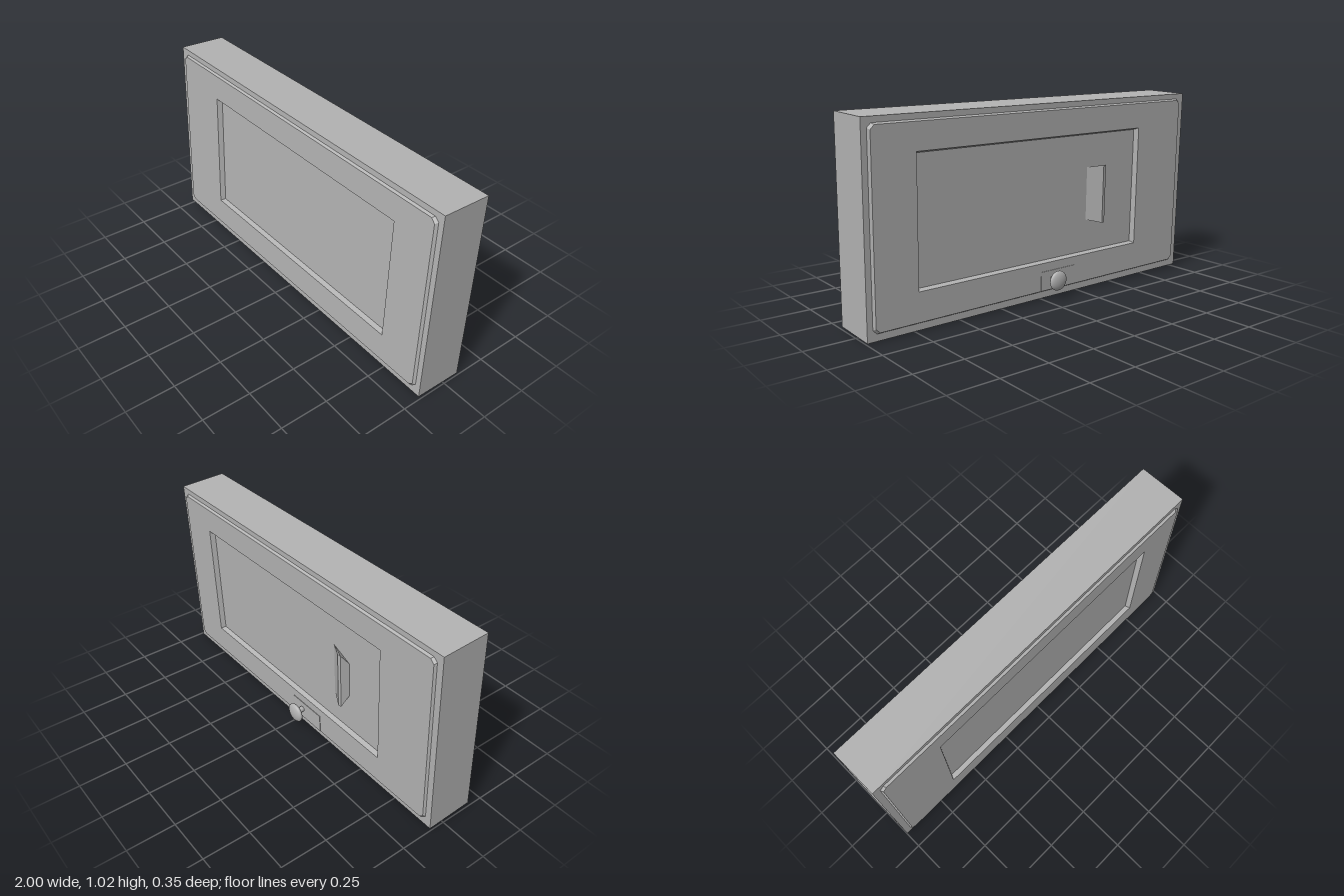
import * as THREE from 'three';
import { ConvexGeometry } from 'three/addons/geometries/ConvexGeometry.js';

// Rectangle with clipped corners at depth z, counter-clockwise from the front
function ring(x0, x1, y0, y1, z, c = 0) {
  return [[x0 + c, y0], [x1 - c, y0], [x1, y0 + c], [x1, y1 - c], [x1 - c, y1], [x0 + c, y1], [x0, y1 - c], [x0, y0 + c]]
    .map(([x, y]) => new THREE.Vector3(x, y, z));
}

// Joins successive rings (back to front) and caps both ends, flat faceted
function loft(rings) {
  const pts = [];
  for (let r = 0; r + 1 < rings.length; r++) {
    for (let i = 0; i < 8; i++) {
      const j = (i + 1) % 8, a = rings[r], b = rings[r + 1];
      pts.push(a[i], a[j], b[j], a[i], b[j], b[i]);
    }
  }
  const back = rings[0], front = rings[rings.length - 1];
  for (let i = 1; i < 7; i++) {
    pts.push(back[0], back[i + 1], back[i]);
    pts.push(front[0], front[i], front[i + 1]);
  }
  const geometry = new THREE.BufferGeometry().setFromPoints(pts);
  geometry.computeVertexNormals();
  return geometry;
}

export function createModel() {
  const grey = new THREE.MeshStandardMaterial({ color: 0xb3b3b3 });
  const model = new THREE.Group();
  const panel = new THREE.Group();
  panel.name = 'leaningPanel';
  model.add(panel);

  function add(name, geometry, x = 0, y = 0, z = 0) {
    const mesh = new THREE.Mesh(geometry, grey);
    mesh.name = name;
    mesh.position.set(x, y, z);
    panel.add(mesh);
    return mesh;
  }

  // Slab with a bevelled raised field and a shallow recess on each face
  const face = (s) => [
    ring(-0.995, 0.995, -0.5, 0.5, s * 0.125),
    ring(-0.962, 0.967, -0.465, 0.472, s * 0.125, 0.02),
    ring(-0.955, 0.957, -0.458, 0.465, s * 0.137, 0.02),
    ring(-0.64, 0.737, -0.31, 0.333, s * 0.137),
    ring(-0.628, 0.725, -0.302, 0.323, s * 0.112),
  ];
  add('slab', loft([...face(-1).reverse(), ...face(1)]));

  // Wedge-shaped pull in the rear recess
  const pull = [
    [-0.29, -0.13, -0.11], [-0.29, 0.15, -0.11],
    [-0.372, -0.15, -0.155], [-0.372, 0.16, -0.155],
    [-0.39, -0.15, -0.153], [-0.39, 0.16, -0.153],
    [-0.405, -0.09, -0.11], [-0.405, 0.1, -0.11],
  ].map((p) => new THREE.Vector3(...p));
  add('pullHandle', new ConvexGeometry(pull));

  // Latch plate with a round knob
  add('latchPlate', new THREE.BoxGeometry(0.22, 0.1, 0.008), -0.087, -0.405, -0.136);
  const stem = new THREE.CylinderGeometry(0.015, 0.015, 0.05, 20).rotateX(Math.PI / 2);
  add('knobStem', stem, -0.05, -0.4, -0.155);
  const knob = new THREE.SphereGeometry(0.052, 32, 20).rotateX(Math.PI / 2).scale(1, 1, 0.39);
  add('knob', knob, -0.05, -0.4, -0.186);

  // Slight backward lean and sideways tilt
  panel.rotation.set(-0.033, 0.004, -0.008);
  panel.position.set(0, 0.516, 0.018);
  return model;
}
